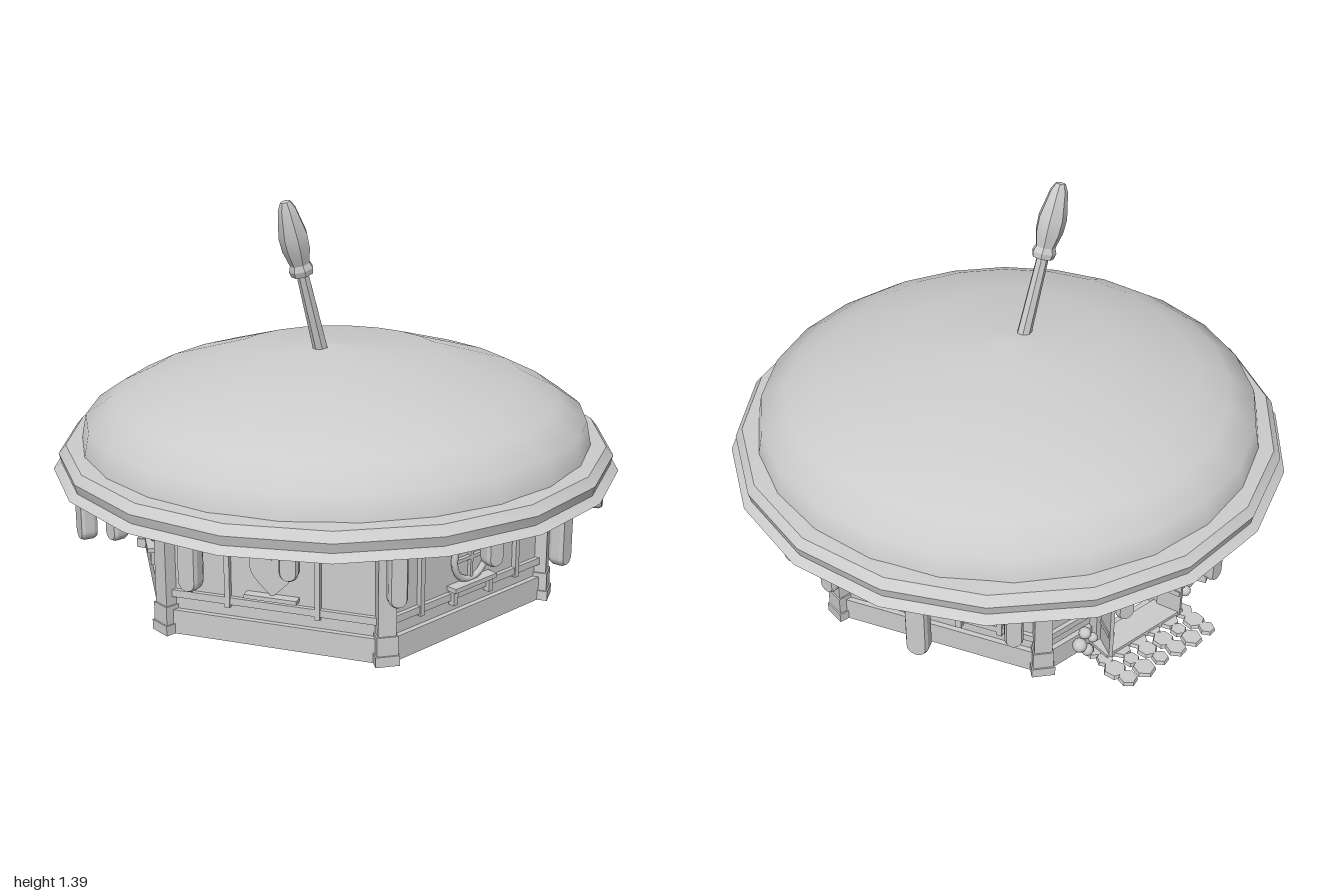
import * as THREE from 'three';
import { toCreasedNormals } from 'three/addons/utils/BufferGeometryUtils.js';

const grey = new THREE.MeshStandardMaterial({ color: 0xcccccc, side: THREE.DoubleSide });
grey.name = 'paleGrey';
const APOTHEM = 0.655, CORNER = 0.757, HALF = 0.378, TURN = 22.6;
const rad = THREE.MathUtils.degToRad;

function add(parent, name, geometry, x = 0, y = 0, z = 0) {
  const mesh = new THREE.Mesh(geometry, grey);
  mesh.name = name;
  mesh.position.set(x, y, z);
  parent.add(mesh);
  return mesh;
}
const box = (parent, name, w, h, d, x, y, z) => add(parent, name, new THREE.BoxGeometry(w, h, d), x, y, z);
const points = (list) => list.map(([x, y]) => new THREE.Vector2(x, y));
const extrude = (shape, depth) =>
  new THREE.ExtrudeGeometry(shape, { depth, bevelEnabled: false, curveSegments: 8 });

// Group turned to face outward at an angle around the building
function facing(parent, name, degrees) {
  const group = new THREE.Group();
  group.name = name;
  group.rotation.y = rad(degrees);
  parent.add(group);
  return group;
}

function heartShape(s) {
  const shape = new THREE.Shape();
  shape.moveTo(0, -s);
  shape.bezierCurveTo(-0.35 * s, -0.6 * s, -s, -0.2 * s, -0.95 * s, 0.4 * s);
  shape.bezierCurveTo(-0.9 * s, s, -0.15 * s, 1.05 * s, 0, 0.55 * s);
  shape.bezierCurveTo(0.15 * s, 1.05 * s, 0.9 * s, s, 0.95 * s, 0.4 * s);
  shape.bezierCurveTo(s, -0.2 * s, 0.35 * s, -0.6 * s, 0, -s);
  return shape;
}

// Arched doorway outline
function archShape(halfWidth, spring) {
  const shape = new THREE.Shape();
  shape.moveTo(-halfWidth, 0);
  shape.lineTo(halfWidth, 0);
  shape.lineTo(halfWidth, spring);
  shape.absarc(0, spring, halfWidth, 0, Math.PI, false);
  shape.lineTo(-halfWidth, 0);
  return shape;
}

function addTrim(side, postX) {
  for (const s of [-1, 1]) box(side, 'wallStud', 0.018, 0.33, 0.02, s * postX, 0.285, APOTHEM + 0.008);
  box(side, 'wallRail', 2 * HALF, 0.025, 0.02, 0, 0.143, APOTHEM + 0.005);
  box(side, 'plinth', 2 * HALF, 0.085, 0.02, 0, 0.0425, APOTHEM + 0.008);
  box(side, 'topBeam', 2 * HALF, 0.03, 0.02, 0, 0.445, APOTHEM + 0.005);
}

function addRoundWindow(side) {
  const z = APOTHEM + 0.01;
  add(side, 'windowPane', new THREE.CircleGeometry(0.075, 20), 0, 0.26, APOTHEM + 0.004);
  add(side, 'windowFrame', new THREE.TorusGeometry(0.078, 0.012, 6, 20), 0, 0.26, z);
  box(side, 'windowBar', 0.012, 0.15, 0.014, 0, 0.26, z);
  box(side, 'windowBar', 0.15, 0.012, 0.014, 0, 0.26, z);
  box(side, 'windowSill', 0.2, 0.016, 0.04, 0, 0.172, z + 0.01);
  for (const s of [-1, 1]) box(side, 'sillBracket', 0.02, 0.05, 0.025, s * 0.085, 0.14, z + 0.006);
}

function addHeartWindow(side) {
  add(side, 'heartWindow', extrude(heartShape(0.082), 0.012), 0, 0.258, APOTHEM);
  box(side, 'windowSill', 0.18, 0.014, 0.035, 0, 0.176, APOTHEM + 0.015);
}

function addDoorway(side) {
  const frame = archShape(0.165, 0.245);
  frame.holes.push(archShape(0.135, 0.245));
  add(side, 'doorFrame', extrude(frame, 0.05), 0, 0, APOTHEM - 0.015);
  // Open door leaf folded out against the wall
  for (const s of [-1, 1]) {
    const leaf = box(side, 'doorLeaf', 0.014, 0.3, 0.09, s * 0.15, 0.16, APOTHEM + 0.07);
    leaf.rotation.y = s * 0.35;
    box(side, 'doorRail', 0.022, 0.02, 0.08, s * 0.15, 0.11, APOTHEM + 0.07).rotation.y = s * 0.35;
  }
  box(side, 'doorStep', 0.36, 0.025, 0.1, 0, 0.0125, APOTHEM + 0.06);
  // Flagstones, slightly varied by a repeating rule
  for (let row = 0; row < 4; row++) for (let i = 0; i < 6; i++) {
    const r = 0.036 + 0.006 * Math.sin(i * 2.3 + row * 4.1);
    const stone = add(side, 'pavingStone', new THREE.CylinderGeometry(r * 0.9, r, 0.014, 6).toNonIndexed(),
      (i - 2.5) * 0.075 + 0.012 * Math.sin(row * 3), 0.007, APOTHEM + 0.05 + row * 0.056);
    stone.geometry.computeVertexNormals();
    stone.rotation.y = i + row * 1.7;
  }
  // Little plants on both sides of the entrance
  for (const s of [-1, 1]) for (let i = 0; i < 5; i++) {
    add(side, 'plantBall', new THREE.IcosahedronGeometry(0.018 + 0.004 * (i % 3), 1),
      s * (0.21 + 0.022 * (i % 3)), 0.03 + i * 0.022, APOTHEM + 0.05 + 0.015 * (i % 2));
  }
  // Climbing vine
  for (let i = 0; i < 6; i++)
    add(side, 'vineLeaf', new THREE.IcosahedronGeometry(0.017, 0),
      0.23 + 0.03 * Math.sin(i * 2), 0.2 + i * 0.035, APOTHEM + 0.025);
}

function addWall(parent, index) {
  const kind = ['round', 'heart', 'round', 'door', 'round', 'heart'][index];
  const side = facing(parent, 'wallSide', TURN + index * 60);
  const panel = new THREE.Shape(points([[-HALF, 0], [HALF, 0], [HALF, 0.46], [-HALF, 0.46]]));
  if (kind === 'door') {
    panel.holes.push(archShape(0.135, 0.245));
    addDoorway(side);
    for (const s of [-1, 1]) {
      box(side, 'plinth', 0.2, 0.085, 0.02, s * 0.27, 0.0425, APOTHEM + 0.008);
      box(side, 'wallRail', 0.2, 0.025, 0.02, s * 0.27, 0.143, APOTHEM + 0.005);
    }
  } else {
    addTrim(side, kind === 'heart' ? 0.155 : 0.23);
    if (kind === 'heart') addHeartWindow(side);
    else addRoundWindow(side);
  }
  add(side, 'wallPanel', extrude(panel, 0.025), 0, 0, APOTHEM - 0.025);
}

function addPost(parent, index) {
  const post = facing(parent, 'cornerPost', TURN - 30 + index * 60);
  box(post, 'postShaft', 0.06, 0.46, 0.055, 0, 0.23, CORNER - 0.005);
  box(post, 'postFoot', 0.08, 0.035, 0.075, 0, 0.0175, CORNER - 0.005);
  box(post, 'postBase', 0.07, 0.1, 0.065, 0, 0.05, CORNER - 0.005);
  // Curved bracket carrying the eave
  const bracket = new THREE.Shape();
  bracket.moveTo(0, 0.46);
  bracket.lineTo(0, 0.34);
  bracket.quadraticCurveTo(0.01, 0.43, 0.09, 0.46);
  add(post, 'eaveBracket', extrude(bracket, 0.03).rotateY(-Math.PI / 2), 0.015, 0, CORNER + 0.02);
}

// Icing drip: rounded tongue hanging from the rim
function addDrip(parent, [degrees, bottom, width]) {
  const r = width / 2;
  const shape = new THREE.Shape();
  shape.moveTo(r, 0.475);
  shape.lineTo(-r, 0.475);
  shape.lineTo(-r, bottom + r);
  shape.absarc(0, bottom + r, r, Math.PI, Math.PI * 2, false);
  shape.lineTo(r, 0.475);
  const geometry = new THREE.ExtrudeGeometry(shape,
    { depth: 0.03, bevelSize: 0.006, bevelThickness: 0.012, bevelOffset: -0.006, bevelSegments: 1, curveSegments: 6 });
  add(facing(parent, 'icingDrip', degrees), 'drip', geometry, 0, 0, 0.915);
}

export function createModel() {
  const model = new THREE.Group();
  model.name = 'roundRoofedHut';
  for (let i = 0; i < 6; i++) {
    addWall(model, i);
    addPost(model, i);
  }

  // Smooth domed roof with a stepped rim and soffit
  add(model, 'roofDome', new THREE.LatheGeometry(
    points([[0.905, 0.52], [0.885, 0.62], [0.79, 0.685], [0.67, 0.745], [0.37, 0.835], [0, 0.86]]), 24));
  const rim = points([[0.64, 0.465], [0.95, 0.458], [1.0, 0.45], [0.972, 0.472], [0.98, 0.505], [0.955, 0.535], [0.89, 0.54]]);
  add(model, 'roofRim', toCreasedNormals(new THREE.LatheGeometry(rim, 18), 0.5));

  const drips = [[-8, 0.275, 0.06], [11.5, 0.36, 0.06], [31.7, 0.27, 0.065], [53, 0.35, 0.06], [71.5, 0.24, 0.09],
    [92, 0.36, 0.06], [114, 0.37, 0.06], [126, 0.36, 0.06], [146, 0.23, 0.075], [165, 0.31, 0.06], [187, 0.36, 0.06],
    [210, 0.33, 0.06], [232, 0.36, 0.06], [250, 0.37, 0.06], [277, 0.29, 0.075], [292, 0.37, 0.06],
    [312, 0.285, 0.07], [332, 0.365, 0.06]];
  drips.forEach((drip) => addDrip(model, drip));

  // Leaning dipper stuck in the roof
  const profile = points([[0.027, 0], [0.022, 0.3], [0.04, 0.305], [0.044, 0.325], [0.036, 0.345], [0.05, 0.4],
    [0.052, 0.45], [0.032, 0.545], [0.018, 0.572], [0, 0.575]]);
  const dipper = add(model, 'dipper', toCreasedNormals(new THREE.LatheGeometry(profile, 7), 0.4), -0.06, 0.835, 0.02);
  const lean = new THREE.Vector3(-0.15, 0.55, 0.068).normalize();
  dipper.quaternion.setFromUnitVectors(new THREE.Vector3(0, 1, 0), lean);
  dipper.scale.set(1, 1, 0.85);
  return model;
}
